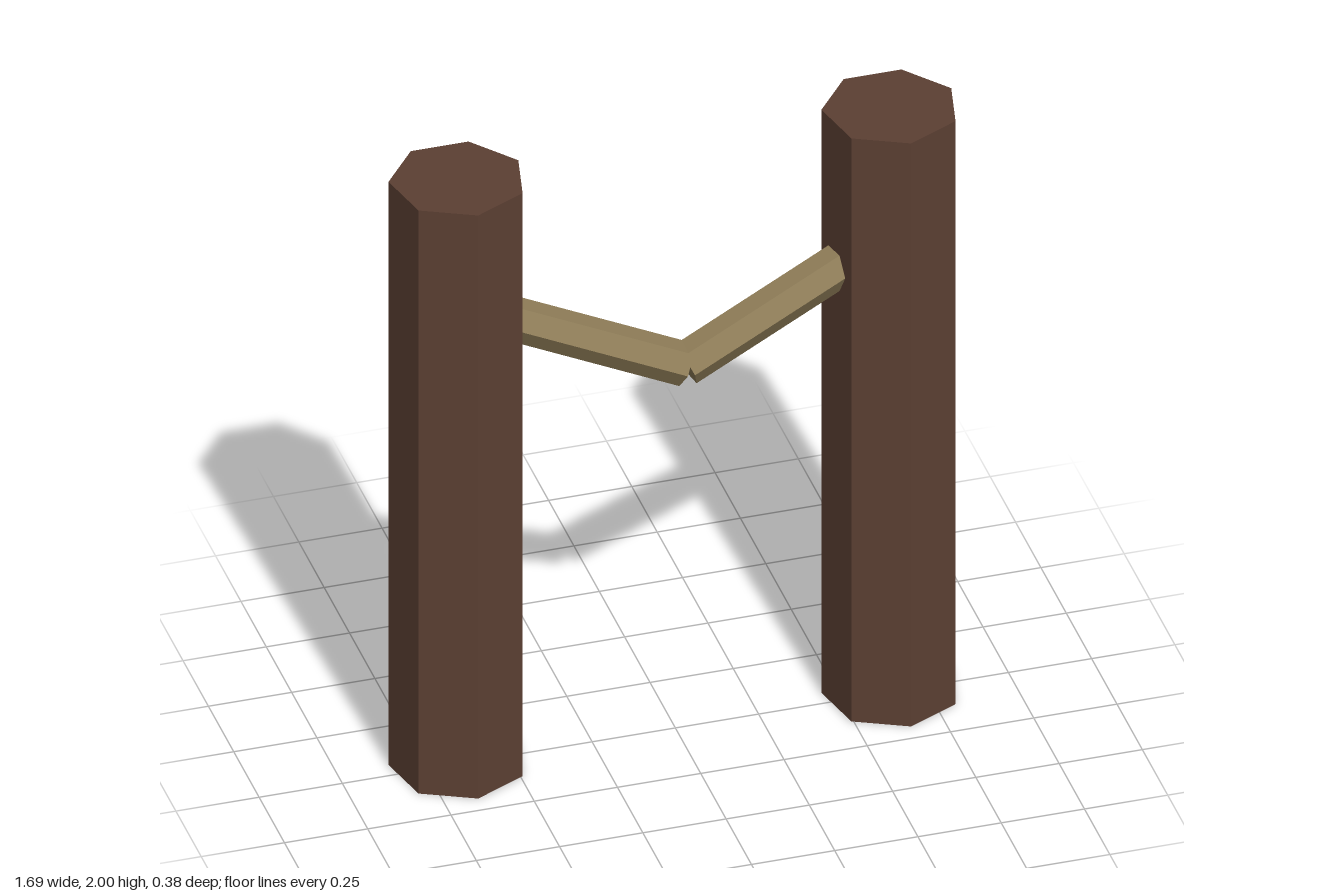
import * as THREE from 'three';

const POST_X = 0.65, POST_Z = -0.01, POST_RADIUS = 0.2, POST_HEIGHT = 2;
const ROPE_RADIUS = 0.065;

const wood = new THREE.MeshStandardMaterial({ color: 0x5c4033, flatShading: true });
const rope = new THREE.MeshStandardMaterial({ color: 0x8f7d58, flatShading: true });

// Seven-sided upright post with one corner facing the front
function makePost(side, name) {
  const geometry = new THREE.CylinderGeometry(POST_RADIUS, POST_RADIUS, POST_HEIGHT, 7);
  const post = new THREE.Mesh(geometry, wood);
  post.name = name;
  post.position.set(side * POST_X, POST_HEIGHT / 2, POST_Z);
  return post;
}

// Six-sided rope half, flat side up, from the sagging middle into a post
function makeRope(side, name) {
  const start = new THREE.Vector3(0, 1.307, 0.095);
  const end = new THREE.Vector3(side * 0.6, 1.55, -0.005);
  const geometry = new THREE.CylinderGeometry(
    ROPE_RADIUS, ROPE_RADIUS, start.distanceTo(end), 6, 1, false, Math.PI / 2);
  geometry.rotateX(Math.PI / 2);
  const half = new THREE.Mesh(geometry, rope);
  half.name = name;
  half.position.copy(start).lerp(end, 0.5);
  half.lookAt(end);
  return half;
}

export function createModel() {
  const model = new THREE.Group();
  model.name = 'ropeFence';
  for (const [side, label] of [[1, 'left'], [-1, 'right']]) {
    model.add(makePost(side, label + 'Post'), makeRope(side, label + 'Rope'));
  }
  return model;
}
